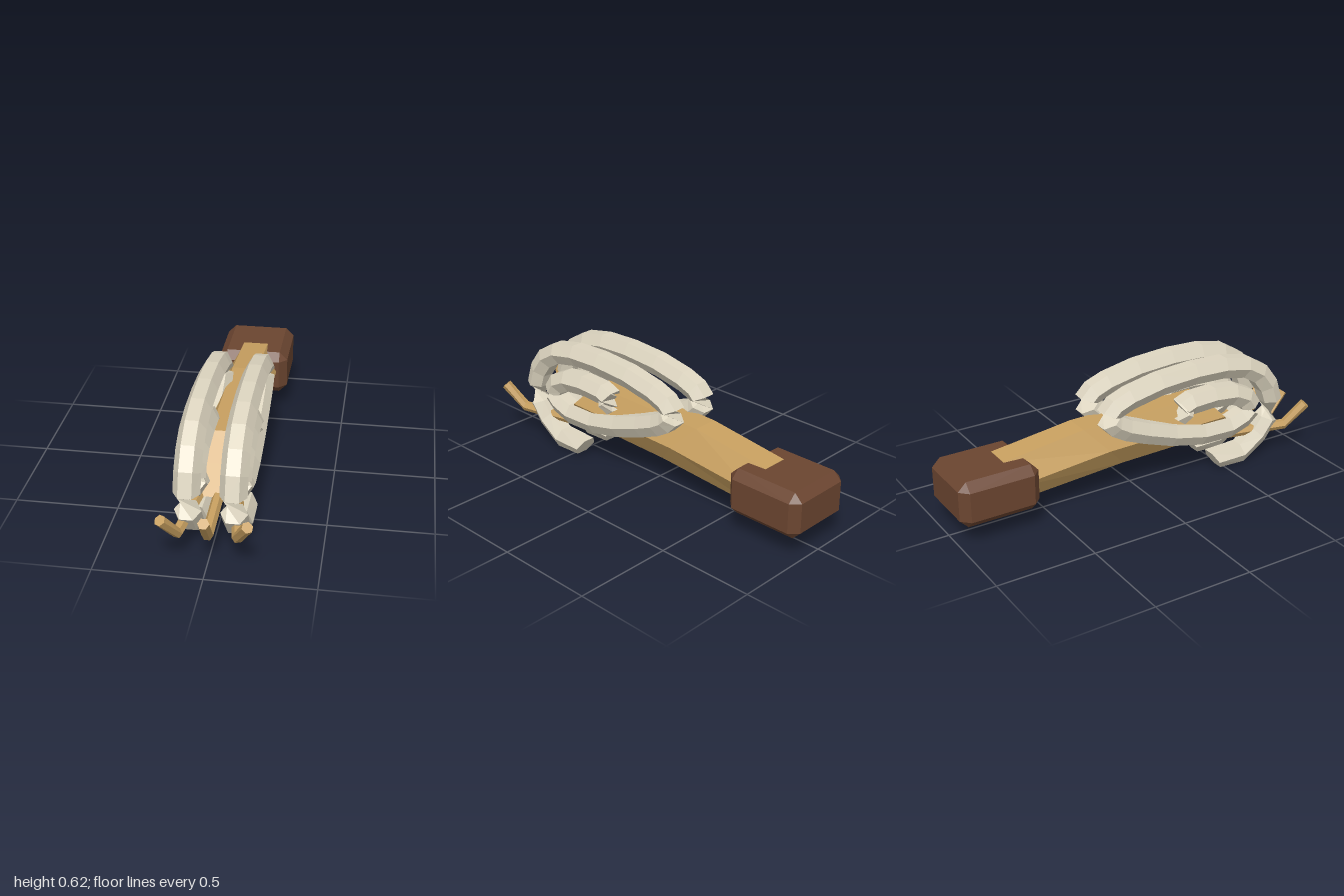
import * as THREE from 'three';
import { ConvexGeometry } from 'three/addons/geometries/ConvexGeometry.js';

const V = (x, y, z) => new THREE.Vector3(x, y, z);
const UP = V(0, 1, 0);

function mesh(name, geometry, color) {
  const material = new THREE.MeshStandardMaterial({ color, flatShading: true, side: THREE.DoubleSide });
  const m = new THREE.Mesh(geometry, material);
  m.name = name;
  return m;
}

// Hexagon around centre c with half axes u and v
function hexRing(c, u, v) {
  return Array.from({ length: 6 }, (_, k) => {
    const a = k * Math.PI / 3;
    return c.clone().addScaledVector(u, Math.cos(a)).addScaledVector(v, Math.sin(a));
  });
}

// Skin a row of hexagons and close both ends
function loft(rings) {
  const pos = [];
  const tri = (...pts) => pts.forEach(p => pos.push(p.x, p.y, p.z));
  for (let i = 0; i < rings.length - 1; i++) {
    for (let k = 0; k < 6; k++) {
      const n = (k + 1) % 6, a = rings[i], b = rings[i + 1];
      tri(a[k], a[n], b[n]);
      tri(a[k], b[n], b[k]);
    }
  }
  const first = rings[0], last = rings[rings.length - 1];
  for (let k = 1; k < 5; k++) {
    tri(first[0], first[k + 1], first[k]);
    tri(last[0], last[k], last[k + 1]);
  }
  const g = new THREE.BufferGeometry();
  g.setAttribute('position', new THREE.Float32BufferAttribute(pos, 3));
  g.computeVertexNormals();
  return g;
}

// Hexagonal tube kept upright, so it twists wherever the path turns back in z
function hexTube(points, r, before) {
  return loft(points.map((p, i) => {
    const prev = points[i - 1] || before || p;
    const t = (points[i + 1] || p).clone().sub(prev).normalize();
    const u = UP.clone().cross(t).normalize();
    const v = t.clone().cross(u);
    return hexRing(p, u.multiplyScalar(r), v.multiplyScalar(r));
  }));
}

// Box with every edge and corner cut off
function chamferedBox(w, h, d, c) {
  const pts = [];
  for (const x of [-1, 1]) for (const y of [-1, 1]) for (const z of [-1, 1]) {
    const X = w / 2, Y = h / 2, Z = d / 2;
    pts.push(V(x * X, y * (Y - c), z * (Z - c)),
      V(x * (X - c), y * Y, z * (Z - c)),
      V(x * (X - c), y * (Y - c), z * Z));
  }
  return new ConvexGeometry(pts);
}

export function createModel() {
  const group = new THREE.Group();
  const bone = 0xddd5c0, tan = 0xc8a060, brown = 0x6b4530;

  // Long hexagonal shaft: top z, top y, bottom z, bottom y, half width
  const sections = [
    [-0.73, 0.341, -0.7, 0.117, 0.13],
    [-0.3, 0.395, -0.08, 0.158, 0.13],
    [0.39, 0.405, 0.6, 0.172, 0.13],
  ];
  group.add(mesh('shaft', loft(sections.map(([tz, ty, bz, by, w]) => hexRing(
    V(0, (ty + by) / 2, (tz + bz) / 2),
    V(w, 0, 0),
    V(0, ty - by, tz - bz).divideScalar(Math.sqrt(3))))), tan));

  // Block at the rear end
  const block = mesh('rearBlock', chamferedBox(0.37, 0.234, 0.41, 0.042), brown);
  block.position.set(0, 0.222, -0.795);
  group.add(block);

  // Spiral coils, one on each side, as z, y pairs from the outer end inwards
  const spiral = [
    [0.445, 0.053], [0.61, 0.054], [0.72, 0.13], [0.78, 0.21],
    [0.80, 0.31], [0.77, 0.40], [0.71, 0.48], [0.62, 0.535], [0.48, 0.563],
    [0.3, 0.57], [0.1, 0.558], [-0.07, 0.525], [-0.15, 0.495], [-0.18, 0.465],
    [-0.18, 0.43], [-0.15, 0.40], [-0.09, 0.365], [0.02, 0.32], [0.18, 0.265],
    [0.36, 0.225], [0.53, 0.22], [0.62, 0.25], [0.66, 0.285],
    [0.66, 0.31], [0.63, 0.36], [0.55, 0.4], [0.42, 0.415], [0.29, 0.41], [0.245, 0.393],
    [0.245, 0.375], [0.27, 0.36],
  ];
  for (const [name, s] of [['left', 1], ['right', -1]]) {
    const path = spiral.map(([z, y]) => V(s * 0.1045, y, z));
    group.add(mesh(name + 'Coil', hexTube(path, 0.0625, V(0, -0.07, 0.41).setX(s * 0.1045)), bone));
  }

  // Three bent prongs at the front
  for (const [name, s] of [['left', 1], ['middle', 0], ['right', -1]]) {
    const path = [V(s * 0.08, 0.168, 0.5), V(s * 0.135, 0.153, 0.88), V(s * 0.19, 0.272, 0.972)];
    group.add(mesh(name + 'Prong', hexTube(path, 0.027), tan));
  }
  return group;
}
